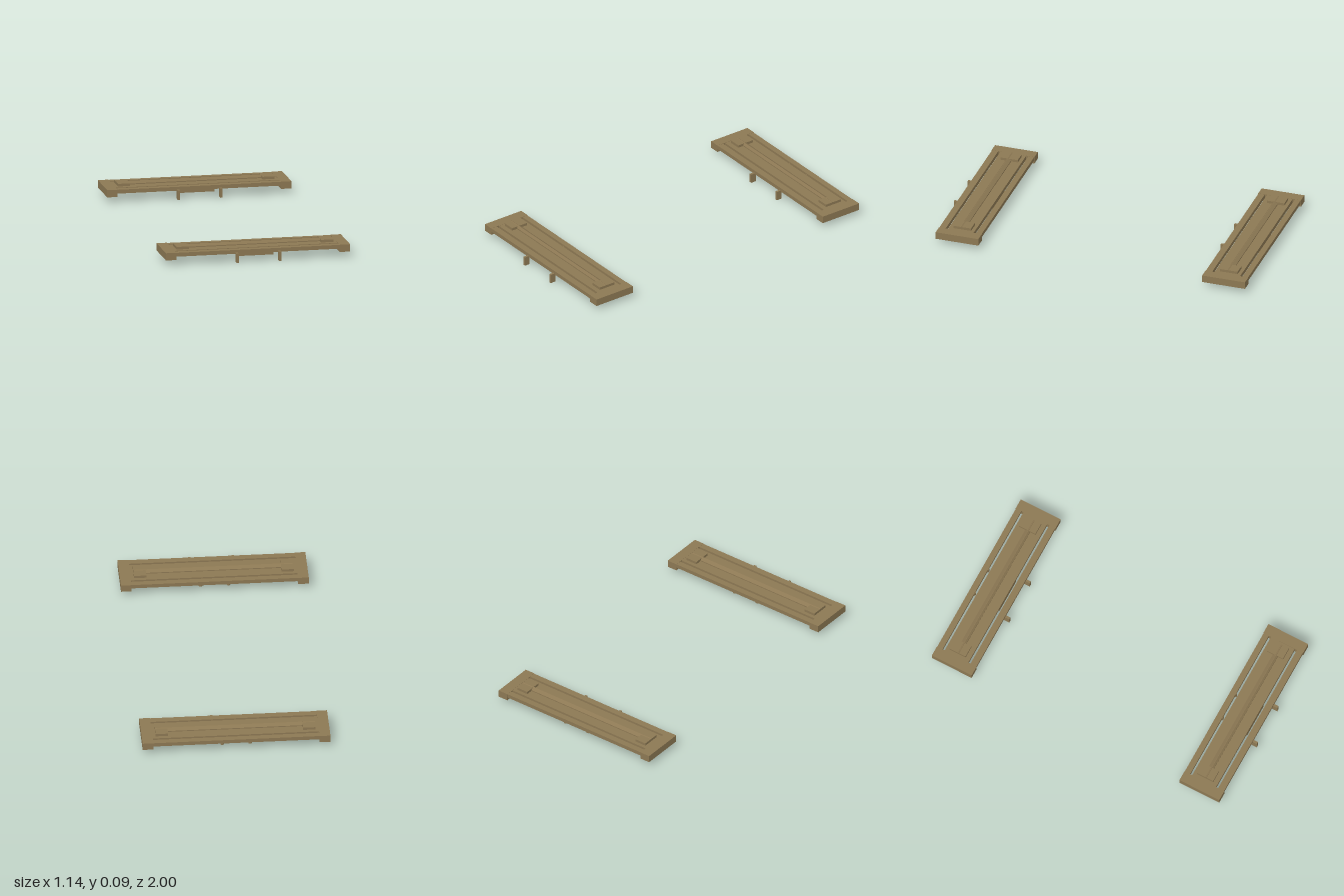
import * as THREE from 'three';

const bronze = new THREE.MeshStandardMaterial({ color: 0x8c7853 });
bronze.name = 'bronze';

function add(parent, name, geometry) {
  const mesh = new THREE.Mesh(geometry, bronze);
  mesh.name = name;
  parent.add(mesh);
  return mesh;
}

// Box given by its limits on each axis
function block(parent, name, [x0, x1], [y0, y1], [z0, z1]) {
  const mesh = add(parent, name, new THREE.BoxGeometry(x1 - x0, y1 - y0, z1 - z0));
  mesh.position.set((x0 + x1) / 2, (y0 + y1) / 2, (z0 + z1) / 2);
}

// Long bar running along x with a cross-section of [z, y] points
function bar(parent, name, points, halfLength) {
  const shape = new THREE.Shape(points.map(([z, y]) => new THREE.Vector2(-z, y)));
  const geometry = new THREE.ExtrudeGeometry(shape, { depth: halfLength * 2, bevelEnabled: false });
  geometry.translate(0, 0, -halfLength).rotateY(Math.PI / 2);
  add(parent, name, geometry);
}

function rectangle(Kind, x, z0, z1) {
  return new Kind([[-x, z0], [x, z0], [x, z1], [-x, z1]].map(p => new THREE.Vector2(...p)));
}

function createPanel() {
  const panel = new THREE.Group();

  // Plate with a long slot near each edge
  const outline = rectangle(THREE.Shape, 0.565, -0.148, 0.121);
  outline.holes.push(
    rectangle(THREE.Path, 0.505, -0.112, -0.097),
    rectangle(THREE.Path, 0.505, 0.066, 0.081));
  const plate = new THREE.ExtrudeGeometry(outline, { depth: 0.024, bevelEnabled: false });
  plate.rotateX(Math.PI / 2).translate(0, 0.074, 0);
  add(panel, 'slottedPlate', plate);

  // Central ridges above and below the plate
  bar(panel, 'topRidge', [[-0.033, 0.073], [-0.033, 0.08], [-0.013, 0.093], [-0.011, 0.093], [0, 0.08], [0, 0.073]], 0.485);
  bar(panel, 'bottomRidge', [[-0.033, 0.051], [-0.033, 0.045], [-0.013, 0.036], [-0.011, 0.036], [0, 0.045], [0, 0.051]], 0.485);

  // Block under the middle
  block(panel, 'centreBlock', [-0.107, 0.107], [0.022, 0.051], [-0.09, 0.066]);

  for (const side of [-1, 1]) {
    const span = (a, b) => side > 0 ? [a, b] : [-b, -a];
    block(panel, 'endBlock', span(0.505, 0.57), [0.03, 0.075], [-0.15, 0.123]);
    block(panel, 'topPad', span(0.41, 0.485), [0.073, 0.09], [-0.075, 0.036]);
    block(panel, 'bottomPad', span(0.41, 0.485), [0.037, 0.051], [-0.075, 0.036]);
    block(panel, 'frontPeg', span(0.124, 0.139), [0, 0.057], [0.115, 0.15]);

    // Rounded clip under the rear rail
    const clip = add(panel, 'rearClip', new THREE.CylinderGeometry(0.011, 0.011, 0.04, 12));
    clip.position.set(side * 0.085, 0.047, -0.118);
  }
  return panel;
}

export function createModel() {
  const model = new THREE.Group();
  model.name = 'panelPair';
  for (const [name, z] of [['frontPanel', 0.85], ['rearPanel', -0.85]]) {
    const panel = createPanel();
    panel.name = name;
    panel.position.z = z;
    model.add(panel);
  }
  return model;
}
